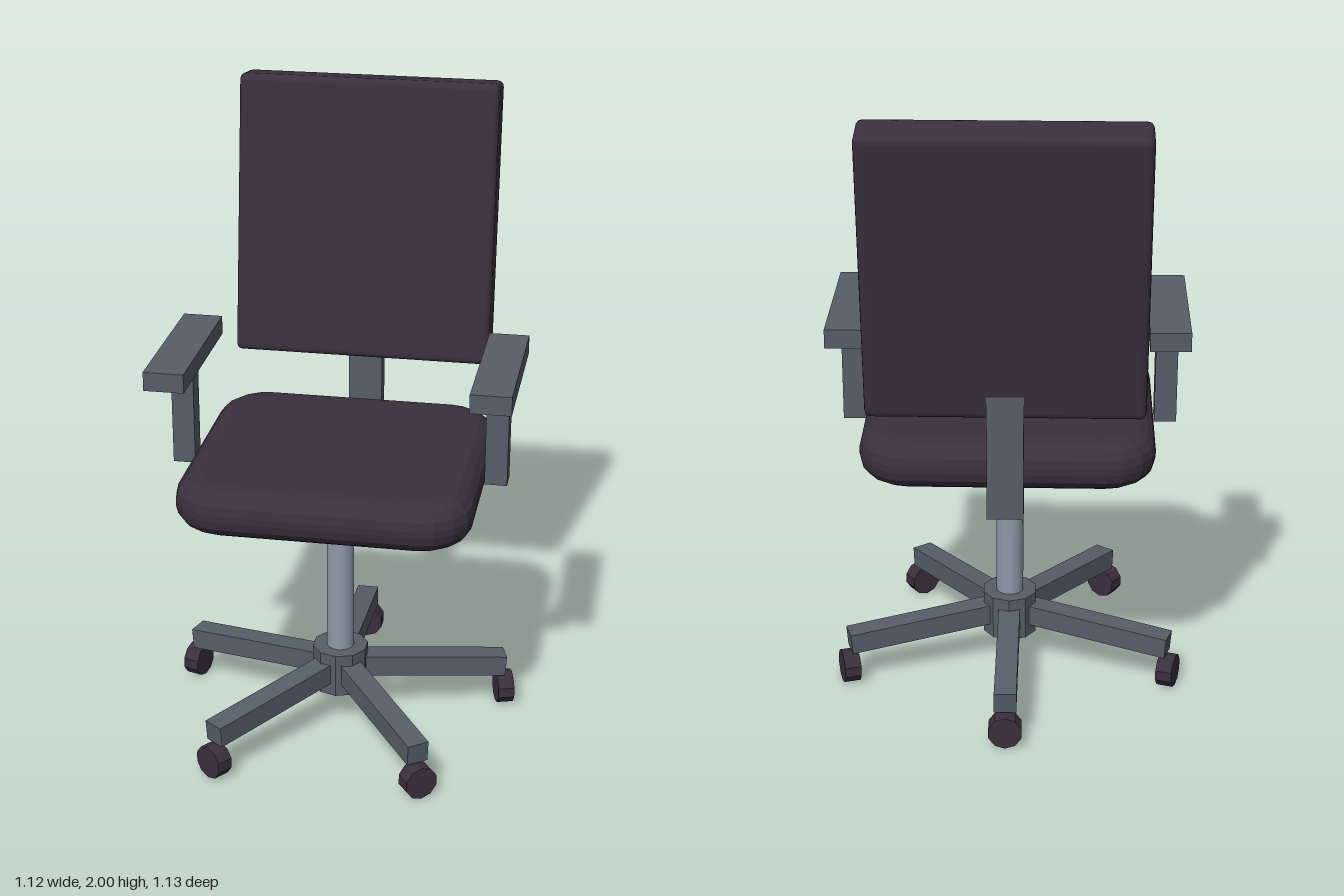
import * as THREE from 'three';
import { RoundedBoxGeometry } from 'three/addons/geometries/RoundedBoxGeometry.js';

const AXIS_Z = 0.07; // the column, base and armrests share this centre

function material(name, color, flatShading = false) {
  const m = new THREE.MeshStandardMaterial({ color });
  m.name = name;
  m.flatShading = flatShading;
  return m;
}

function addMesh(parent, name, geometry, mat, x = 0, y = 0, z = 0) {
  const mesh = new THREE.Mesh(geometry, mat);
  mesh.name = name;
  mesh.position.set(x, y, z);
  parent.add(mesh);
  return mesh;
}

// Rounded cushion outline with coarse corners
function cushionShape(hx, hy, r) {
  const s = new THREE.Shape();
  s.moveTo(-hx + r, -hy);
  s.lineTo(hx - r, -hy);
  s.absarc(hx - r, -hy + r, r, -Math.PI / 2, 0);
  s.lineTo(hx, hy - r);
  s.absarc(hx - r, hy - r, r, 0, Math.PI / 2);
  s.lineTo(-hx + r, hy);
  s.absarc(-hx + r, hy - r, r, Math.PI / 2, Math.PI);
  s.lineTo(-hx, -hy + r);
  s.absarc(-hx + r, -hy + r, r, Math.PI, Math.PI * 1.5);
  return s;
}

export function createModel() {
  const chair = new THREE.Group();
  chair.name = 'officeChair';
  const fabric = material('dark fabric', 0x3a2f3e, true);
  const frame = material('grey frame', 0x565e69, true);
  const steel = material('light steel', 0x8f9aa8);

  // Seat cushion with a fully rounded rim
  const seatGeo = new THREE.ExtrudeGeometry(cushionShape(0.375, 0.355, 0.08), {
    depth: 0.02, bevelThickness: 0.07, bevelSize: 0.08, bevelSegments: 4, curveSegments: 2,
  });
  seatGeo.rotateX(-Math.PI / 2);
  addMesh(chair, 'seat', seatGeo, fabric, 0, 0.875, AXIS_Z);

  // Reclined backrest and its upright support
  const back = addMesh(chair, 'backrest', new RoundedBoxGeometry(0.83, 0.9, 0.14, 2, 0.02), fabric, 0, 1.545, -0.433);
  back.rotation.x = -0.14;
  addMesh(chair, 'backSupport', new THREE.BoxGeometry(0.11, 0.43, 0.053), frame, 0, 0.985, -0.424);

  // Armrests, mirrored
  for (const side of [-1, 1]) {
    const arm = new THREE.Group();
    arm.name = side > 0 ? 'leftArmrest' : 'rightArmrest';
    addMesh(arm, 'armPost', new THREE.BoxGeometry(0.07, 0.33, 0.07), frame, side * 0.493, 1.045, AXIS_Z);
    addMesh(arm, 'armPad', new THREE.BoxGeometry(0.125, 0.06, 0.51), frame, side * 0.493, 1.238, AXIS_Z);
    chair.add(arm);
  }

  // Column and hub
  addMesh(chair, 'column', new THREE.CylinderGeometry(0.044, 0.044, 0.62, 16), steel, 0, 0.51, AXIS_Z);
  addMesh(chair, 'hub', new THREE.CylinderGeometry(0.09, 0.09, 0.145, 10), frame, 0, 0.183, AXIS_Z);

  // Five sloping legs with casters; the first points straight back
  const legGeo = new THREE.BoxGeometry(0.07, 0.068, 0.546);
  const casterGeo = new THREE.CylinderGeometry(0.054, 0.054, 0.053, 10).rotateX(Math.PI / 2);
  for (let i = 0; i < 5; i++) {
    const spoke = new THREE.Group();
    spoke.name = 'baseSpoke' + (i + 1);
    spoke.position.z = AXIS_Z;
    spoke.rotation.y = Math.PI + (i * Math.PI * 2) / 5;
    const leg = addMesh(spoke, 'leg', legGeo, frame, 0, 0.168, 0.273);
    leg.rotation.x = 0.08;
    addMesh(spoke, 'caster', casterGeo, fabric, 0, 0.054, 0.546);
    chair.add(spoke);
  }
  return chair;
}
